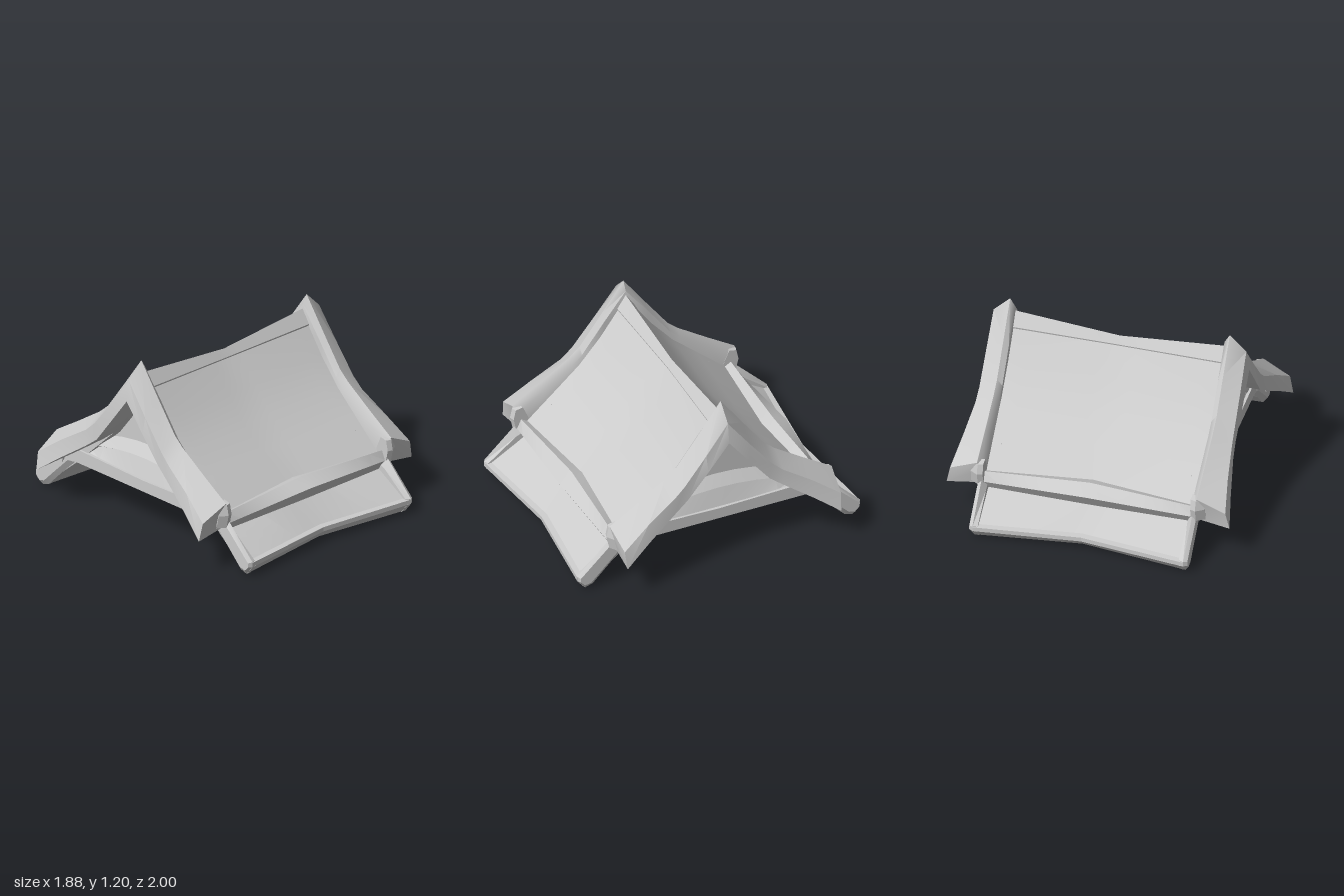
import * as THREE from 'three';
import { toCreasedNormals } from 'three/addons/utils/BufferGeometryUtils.js';

const material = new THREE.MeshStandardMaterial({ color: 0xcccccc, side: THREE.DoubleSide });

// Solid through closed cross-sections; capAxes are the two axes used to triangulate the ends
function loft(name, sections, capAxes, crease = 0.35) {
  const n = sections[0].length, tris = [];
  for (let s = 0; s < sections.length - 1; s++) {
    for (let i = 0; i < n; i++) {
      const j = (i + 1) % n;
      const a = sections[s][i], b = sections[s][j], c = sections[s + 1][j], d = sections[s + 1][i];
      tris.push([a, b, c], [a, c, d]);
    }
  }
  const first = sections[0], last = sections[sections.length - 1];
  const outline = first.map(p => new THREE.Vector2(p[capAxes[0]], p[capAxes[1]]));
  const ccw = !THREE.ShapeUtils.isClockWise(outline);
  for (const f of THREE.ShapeUtils.triangulateShape(outline, [])) {
    // orient each cap triangle with the outline
    const [a, b, c] = f.map(k => outline[k]);
    const up = (b.x - a.x) * (c.y - a.y) - (b.y - a.y) * (c.x - a.x) > 0;
    const [i, j, k] = up === ccw ? f : [f[0], f[2], f[1]];
    tris.push([first[i], first[k], first[j]], [last[i], last[j], last[k]]);
  }
  // signed volume tells whether the skin is inside out
  let volume = 0;
  for (const [a, b, c] of tris) {
    volume += a[0] * (b[1] * c[2] - b[2] * c[1]) + a[1] * (b[2] * c[0] - b[0] * c[2]) + a[2] * (b[0] * c[1] - b[1] * c[0]);
  }
  const pos = tris.flatMap(([a, b, c]) => (volume > 0 ? [a, b, c] : [a, c, b]).flat());
  const geo = new THREE.BufferGeometry();
  geo.setAttribute('position', new THREE.Float32BufferAttribute(pos, 3));
  const mesh = new THREE.Mesh(toCreasedNormals(geo, crease), material);
  mesh.name = name;
  return mesh;
}

// Half profile of [z, y], mirrored over z = 0, placed at x
const mirrored = (half, x) => [
  ...half.map(([z, y]) => [x, y, z]),
  ...half.filter(p => p[0] > 0).reverse().map(([z, y]) => [x, y, -z]),
];
const ZY = [2, 1];
// Profiles blended from the end shape to the middle shape and back, over x = -w..w
const STEPS = 6;
const bowed = (end, mid, w, place) => Array.from({ length: 2 * STEPS + 1 }, (_, k) => {
  const u = k / STEPS - 1, t = Math.abs(u);
  return place(mid.map(([z, y], i) => [z + (end[i][0] - z) * t, y + (end[i][1] - y) * t]), u * w);
});

export function createModel() {
  const model = new THREE.Group();
  model.name = 'roof';

  // Main sagging gable roof, open underneath, with ridge cap and raised eaves lip
  const roofEnd = [[0, 1.11], [0.06, 1.02], [0.057, 1.008], [0.18, 0.835], [0.33, 0.66], [0.5, 0.51], [0.7, 0.335],
    [0.742, 0.36], [0.77, 0.295], [0.735, 0.235], [0.62, 0.268], [0.3, 0.57], [0, 0.95]];
  const roofMid = [[0, 1.05], [0.032, 1.0], [0.029, 0.99], [0.16, 0.82], [0.31, 0.65], [0.47, 0.505], [0.635, 0.355],
    [0.71, 0.385], [0.808, 0.335], [0.75, 0.24], [0.6, 0.268], [0.27, 0.53], [0, 0.88]];
  model.add(loft('mainRoof', bowed(roofEnd, roofMid, 0.7, mirrored), ZY, 0.17));

  // Lower skirt roof along both long sides
  const skirtEnd = [[0.62, 0.3], [0.735, 0.235], [0.965, 0.1], [1.0, 0.095], [1.0, 0.065],
    [0.95, 0.004], [0.89, 0.02], [0.76, 0.15], [0.62, 0.267]];
  const skirtMid = [[0.6, 0.3], [0.735, 0.24], [0.885, 0.105], [0.925, 0.1], [0.925, 0.07],
    [0.88, 0.02], [0.83, 0.03], [0.72, 0.15], [0.6, 0.267]];
  for (const face of [-1, 1]) {
    const place = (profile, x) => profile.map(([z, y]) => [x, y, face * z]);
    model.add(loft('skirtRoof', bowed(skirtEnd, skirtMid, 0.7, place), ZY, 0.17));
  }

  for (const side of [-1, 1]) {
    const end = new THREE.Group();
    end.name = side > 0 ? 'leftGableEnd' : 'rightGableEnd';

    // Thin gable wall
    const wall = [[0, 0.98], [0.3, 0.6], [0.55, 0.37], [0.3, 0.5], [0, 0.53]];
    end.add(loft('gableWall', [mirrored(wall, side * 0.61), mirrored(wall, side * 0.635)], ZY));

    // Bargeboard: bottom inner, top inner, crest, outer top, outer bottom
    const stations = [
      [[0.69, 0.95, 0], [0.695, 1.14, 0], [0.73, 1.2, 0], [0.84, 1.09, 0], [0.86, 0.95, 0]],
      [[0.69, 0.763, 0.145], [0.695, 0.94, 0.155], [0.73, 0.985, 0.155], [0.845, 0.885, 0.155], [0.857, 0.763, 0.145]],
      [[0.69, 0.58, 0.29], [0.695, 0.73, 0.31], [0.73, 0.775, 0.31], [0.848, 0.69, 0.31], [0.85, 0.58, 0.29]],
      [[0.69, 0.51, 0.38], [0.695, 0.665, 0.38], [0.73, 0.71, 0.385], [0.853, 0.62, 0.385], [0.86, 0.51, 0.38]],
      [[0.69, 0.37, 0.58], [0.695, 0.53, 0.58], [0.73, 0.577, 0.585], [0.88, 0.495, 0.58], [0.9, 0.37, 0.58]],
      [[0.69, 0.27, 0.74], [0.695, 0.4, 0.775], [0.73, 0.45, 0.785], [0.915, 0.36, 0.765], [0.94, 0.24, 0.755]],
    ].map(s => s.map(([x, y, z]) => [x * side, y, z]));
    const flipped = stations.slice(1).reverse().map(s => s.map(([x, y, z]) => [x, y, -z]));
    end.add(loft('bargeboard', [...flipped, ...stations], [0, 1], 0.85));

    // Two-step bowed pent ledge across the gable
    const ledge = [-0.56, -0.42, -0.28, -0.14, 0, 0.14, 0.28, 0.42, 0.56].map(z => {
      const t = Math.abs(z) / 0.6, lip = 0.487 - 0.1 * t * t;
      return [[0.63, 0.572 - 0.13 * t * t, z], [0.685, lip, z], [0.66, lip - 0.012, z],
        [0.7, 0.35, z], [0.66, 0.34, z], [0.62, lip - 0.03, z]].map(([x, y, w]) => [x * side, y, w]);
    });
    end.add(loft('pentLedge', ledge, [0, 1]));

    // Tie beam along the foot of the gable
    const beam = [[0, 0.345], [0.62, 0.36], [0.76, 0.3], [0.72, 0.25], [0.62, 0.268], [0, 0.268]];
    end.add(loft('tieBeam', [mirrored(beam, side * 0.65), mirrored(beam, side * 0.715)], ZY));

    for (const face of [-1, 1]) {
      // Raised edge board on each end of the skirt, bevelled below
      const at = (profile, x) => profile.map(([z, y]) => [side * x, y, face * z]);
      const under = [[0.998, 0.065], [0.945, 0], [0.89, 0.018], [0.76, 0.15], [0.64, 0.262]];
      const inner = [[0.7, 0.29], [0.79, 0.25], [0.985, 0.1], ...under];
      const middle = [[0.7, 0.34], [0.79, 0.31], [1.0, 0.1], ...under];
      const outer = [[0.7, 0.32], [0.78, 0.29], [0.985, 0.095], [0.985, 0.065], [0.955, 0.035], [0.91, 0.045], [0.8, 0.155], [0.69, 0.262]];
      end.add(loft('skirtEdgeBoard', [at(inner, 0.668), at(middle, 0.7), at(outer, 0.725)], ZY));

      // Blocky foot where the bargeboard meets the eaves
      const foot = [[0.74, 0.45], [0.79, 0.44], [0.805, 0.37], [0.785, 0.28], [0.72, 0.265], [0.7, 0.36]];
      const footAt = (x, dz) => foot.map(([z, y]) => [side * x, y, face * (z - dz)]);
      end.add(loft('bargeFoot', [footAt(0.69, 0.01), footAt(0.725, 0), footAt(0.78, 0.035)], ZY));
    }
    model.add(end);
  }
  return model;
}
